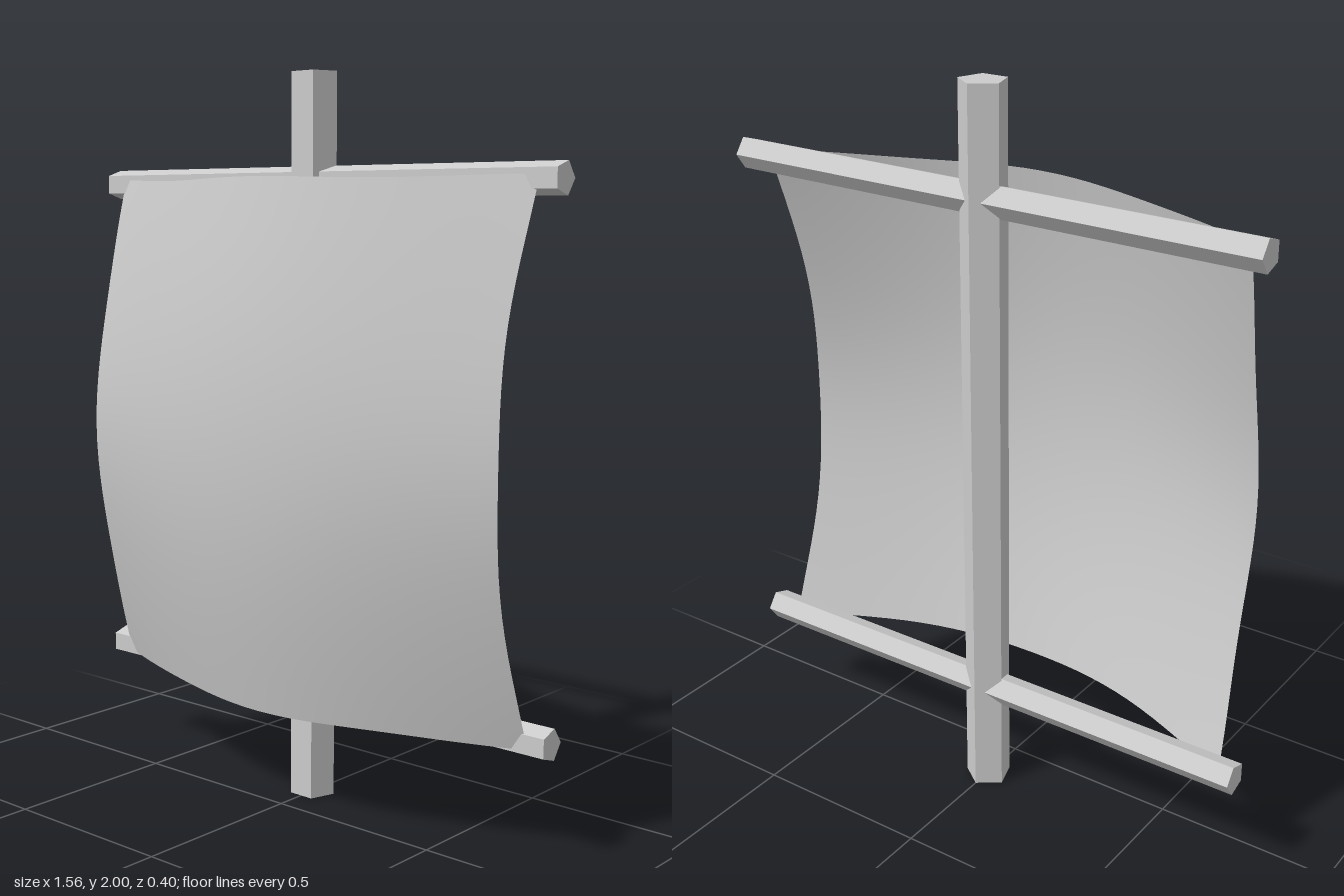
import * as THREE from 'three';

const wood = new THREE.MeshStandardMaterial({ color: 0xcccccc, flatShading: true });
const cloth = new THREE.MeshStandardMaterial({ color: 0xcccccc, side: THREE.DoubleSide });

// Five-sided pole with one ridge pointing backwards
function pole(name, radius, length) {
  const geo = new THREE.CylinderGeometry(radius, radius, length, 5).rotateY(Math.PI);
  const mesh = new THREE.Mesh(geo, wood);
  mesh.name = name;
  return mesh;
}

// Sheet bellied forwards, its corners tucked into the yards
function sail() {
  const geo = new THREE.PlaneGeometry(2, 2, 28, 28);
  const p = geo.attributes.position;
  for (let i = 0; i < p.count; i++) {
    const u = p.getX(i), v = p.getY(i);
    const across = Math.cos(u * Math.PI / 2), along = Math.cos(v * Math.PI / 2);
    const halfWidth = 0.713 - 0.01 * Math.sin(Math.PI * v) ** 2 + 0.008 * v * v;
    const halfHeight = 0.717 - 0.007 * Math.sin(Math.PI * u) ** 2;
    const hang = (0.222 + 0.012 * v) * across;
    const belly = (0.142 - 0.044 * across) * along;
    p.setXYZ(i, u * halfWidth, 1.004 + v * halfHeight, -0.12 + hang + belly);
  }
  geo.computeVertexNormals();
  const mesh = new THREE.Mesh(geo, cloth);
  mesh.name = 'sail';
  return mesh;
}

export function createModel() {
  const model = new THREE.Group();
  model.name = 'mastWithSail';

  // Upright mast
  const mast = pole('mast', 0.0636, 2);
  mast.position.set(0, 1, -0.136);
  model.add(mast);

  // Upper and lower cross yards
  for (const [name, y] of [['upperYard', 1.71], ['lowerYard', 0.306]]) {
    const yard = pole(name, 0.044, 1.56);
    yard.rotation.z = Math.PI / 2;
    yard.position.set(0, y, -0.139);
    model.add(yard);
  }

  model.add(sail());
  return model;
}
